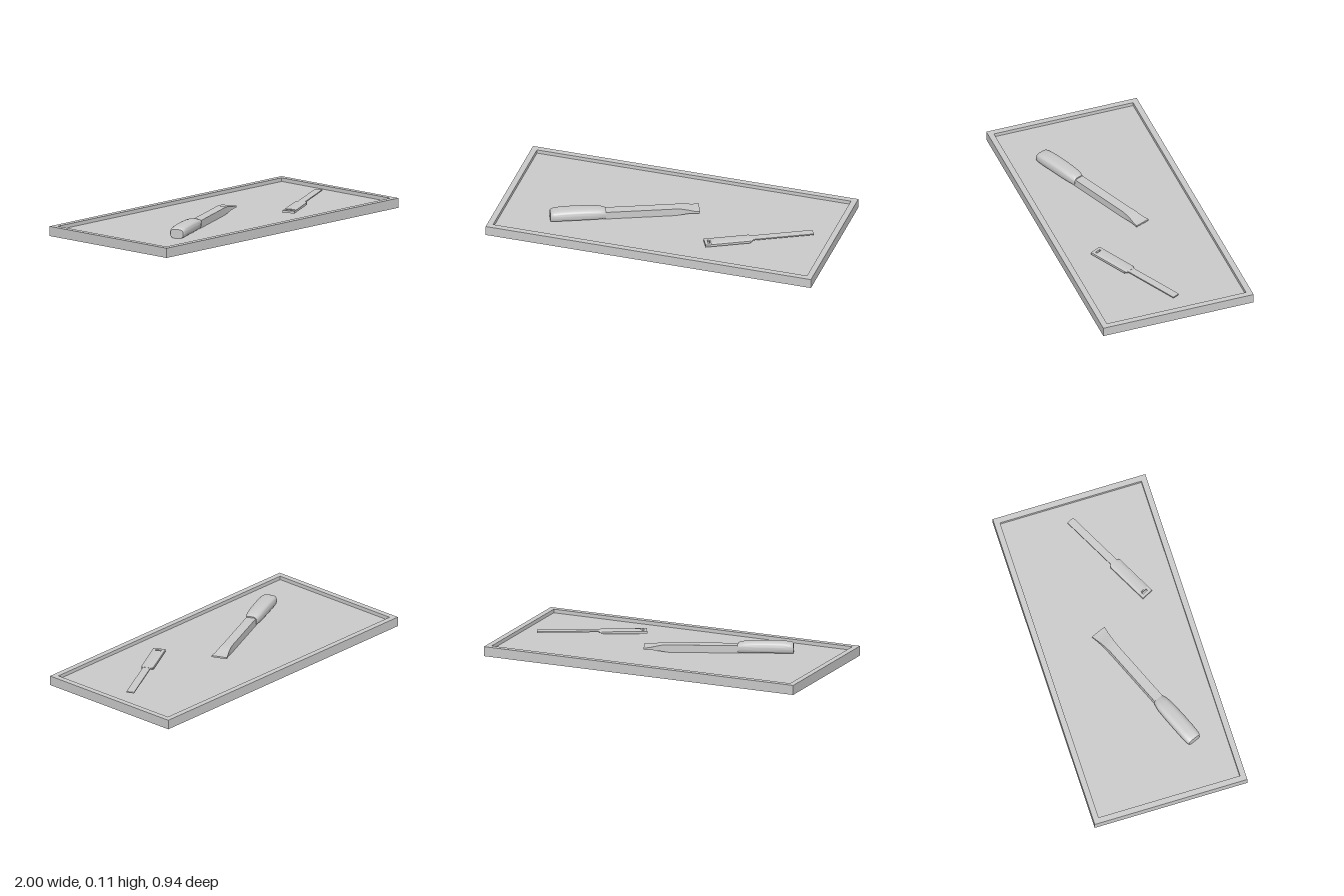
import * as THREE from 'three';
import { toCreasedNormals } from 'three/addons/utils/BufferGeometryUtils.js';

const FLOOR = 0.036;
const material = new THREE.MeshStandardMaterial({ color: 0xcccccc });

function addMesh(parent, name, geometry) {
  const mesh = new THREE.Mesh(geometry, material);
  mesh.name = name;
  parent.add(mesh);
  return mesh;
}

// Closed body along +x from sections [x, halfWidth, bottom, top];
// n sides, power 2 = ellipse, higher = squarer
function loft(sections, n, power) {
  const positions = [], index = [];
  for (const [x, w, y0, y1] of sections) {
    for (let i = 0; i < n; i++) {
      const a = ((i + 0.5) / n) * Math.PI * 2, c = Math.cos(a), s = Math.sin(a);
      const k = Math.pow(Math.abs(c) ** power + Math.abs(s) ** power, -1 / power);
      positions.push(x, (y0 + y1) / 2 + (s * k * (y1 - y0)) / 2, c * k * w);
    }
  }
  const last = (sections.length - 1) * n;
  for (let j = 0; j < last; j += n) {
    for (let i = 0; i < n; i++) {
      const a = j + i, b = j + ((i + 1) % n);
      index.push(a, a + n, b, b, a + n, b + n);
    }
  }
  // End caps
  for (let i = 1; i < n - 1; i++) {
    index.push(0, i, i + 1, last, last + i + 1, last + i);
  }
  const g = new THREE.BufferGeometry();
  g.setAttribute('position', new THREE.Float32BufferAttribute(positions, 3));
  g.setIndex(index);
  return toCreasedNormals(g, 0.7);
}

function rectangle(target, x0, x1, d) {
  target.moveTo(x0, -d);
  target.lineTo(x1, -d);
  target.lineTo(x1, d);
  target.lineTo(x0, d);
  target.closePath();
  return target;
}

// Upright extrusion: shape x, y becomes x, -z
function slab(shape, y0, y1) {
  const g = new THREE.ExtrudeGeometry(shape, { depth: y1 - y0, bevelEnabled: false });
  return g.rotateX(-Math.PI / 2).translate(0, y0, 0);
}

function createTray() {
  const tray = new THREE.Group();
  tray.name = 'tray';
  addMesh(tray, 'trayBase', slab(rectangle(new THREE.Shape(), -1, 1, 0.47), 0, FLOOR));
  const rim = rectangle(new THREE.Shape(), -1, 1, 0.47);
  rim.holes.push(rectangle(new THREE.Path(), -0.965, 0.965, 0.435));
  addMesh(tray, 'trayRim', slab(rim, FLOOR, 0.058));
  return tray;
}

function createChisel() {
  const tool = new THREE.Group();
  tool.name = 'chisel';
  // Handle with rounded butt and slightly narrowed neck
  addMesh(tool, 'chiselHandle', loft([
    [-0.003, 0.04, FLOOR, 0.09],
    [0.004, 0.044, FLOOR, 0.096],
    [0.02, 0.047, FLOOR, 0.1],
    [0.06, 0.049, FLOOR, 0.104],
    [0.14, 0.049, FLOOR, 0.106],
    [0.22, 0.048, FLOOR, 0.105],
    [0.28, 0.045, FLOOR, 0.101],
    [0.31, 0.039, FLOOR, 0.096],
    [0.325, 0.034, FLOOR, 0.09],
  ], 32, 3.2));
  // Rectangular shaft that flares and thins to a flat tip
  addMesh(tool, 'chiselBlade', loft([
    [0.3, 0.03, 0.037, 0.083],
    [0.73, 0.03, 0.037, 0.083],
    [0.77, 0.033, 0.043, 0.082],
    [0.81, 0.037, 0.05, 0.075],
    [0.84, 0.042, 0.054, 0.069],
    [0.877, 0.049, 0.057, 0.067],
  ], 4, 40));
  tool.position.set(-0.67, 0, 0.246);
  tool.rotation.y = Math.atan2(0.336, 0.81);
  return tool;
}

function createKnife() {
  const tool = new THREE.Group();
  tool.name = 'knife';
  // Flat handle plate with a slot near the end
  const plate = rectangle(new THREE.Shape(), 0, 0.27, 0.037);
  plate.holes.push(rectangle(new THREE.Path(), 0.018, 0.03, 0.018));
  addMesh(tool, 'knifeHandlePlate', slab(plate, 0.046, 0.06));
  // Softly crowned grip over the plate, narrowing to the blade
  addMesh(tool, 'knifeGrip', loft([
    [0.036, 0.037, 0.046, 0.063],
    [0.26, 0.037, 0.046, 0.063],
    [0.276, 0.034, 0.047, 0.063],
    [0.286, 0.025, 0.049, 0.063],
  ], 24, 2.6));
  // Thin straight blade
  const blade = new THREE.BoxGeometry(0.37, 0.007, 0.046);
  addMesh(tool, 'knifeBlade', blade).position.set(0.462, 0.058, 0);
  tool.position.set(0.28, 0, 0.257);
  tool.rotation.y = Math.atan2(0.294, 0.576);
  return tool;
}

export function createModel() {
  const model = new THREE.Group();
  model.name = 'toolTray';
  model.add(createTray(), createChisel(), createKnife());
  return model;
}
